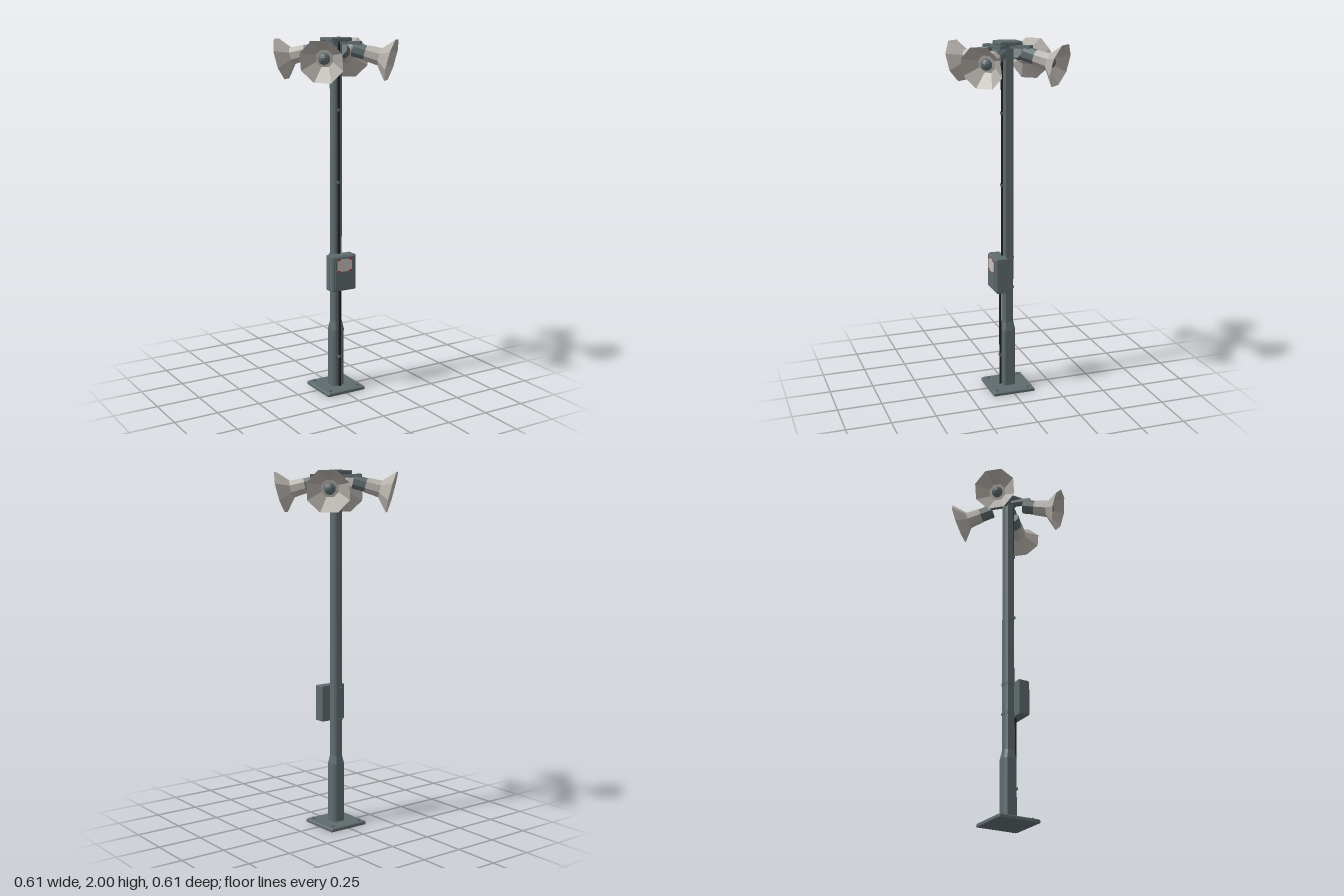
import * as THREE from 'three';

const mat = (name, color, extra = {}) =>
  Object.assign(new THREE.MeshStandardMaterial({ color, flatShading: true, ...extra }), { name });

// Chamfered-rectangle loft; each ring is [y, halfX, halfZ, chamfer]
function loft(rings) {
  const pos = [], idx = [];
  for (const [y, a, b, c] of rings) {
    const corners = [[a, b - c], [a - c, b], [c - a, b], [-a, b - c], [-a, c - b], [c - a, -b], [a - c, -b], [a, c - b]];
    for (const [x, z] of corners) pos.push(x, y, z);
  }
  for (let r = 0; r < rings.length - 1; r++) {
    for (let i = 0; i < 8; i++) {
      const p = r * 8 + i, q = r * 8 + (i + 1) % 8;
      idx.push(p, p + 8, q, q, p + 8, q + 8);
    }
  }
  const top = (rings.length - 1) * 8;
  for (let i = 1; i < 7; i++) idx.push(0, i, i + 1, top, top + i + 1, top + i);
  const g = new THREE.BufferGeometry();
  g.setAttribute('position', new THREE.Float32BufferAttribute(pos, 3));
  g.setIndex(idx);
  const flat = g.toNonIndexed();
  flat.computeVertexNormals();
  return flat;
}

// Octagonal lathe running along +z
const octagon = (points) =>
  new THREE.LatheGeometry(points.map(([r, s]) => new THREE.Vector2(r, s)), 8, Math.PI / 8).rotateX(Math.PI / 2);

export function createModel() {
  const model = new THREE.Group();
  model.name = 'loudspeakerPole';
  const slate = mat('slateMetal', 0x5f6b6e);
  const horn = mat('paleHorn', 0xb5b0aa, { side: THREE.DoubleSide });
  const black = mat('blackCable', 0x1b1e1f);
  const label = mat('labelWhite', 0xc4c0bd);
  const red = mat('redClip', 0xa8322e);

  const add = (name, geometry, material, x = 0, y = 0, z = 0, parent = model) => {
    const m = new THREE.Mesh(geometry, material);
    m.name = name;
    m.position.set(x, y, z);
    parent.add(m);
    return m;
  };
  const box = (w, h, d) => new THREE.BoxGeometry(w, h, d);

  // Base plate with anchor bolts
  add('basePlate', loft([[0, 0.123, 0.123, 0.004], [0.014, 0.123, 0.123, 0.004], [0.019, 0.118, 0.118, 0.004]]), slate);
  for (const x of [-0.092, 0.092]) {
    for (const z of [-0.092, 0.092]) {
      add('anchorBolt', new THREE.CylinderGeometry(0.009, 0.009, 0.012, 6), slate, x, 0.022, z);
    }
  }

  // Pole with thicker foot
  add('pole', loft([
    [0.015, 0.038, 0.038, 0.013], [0.355, 0.038, 0.038, 0.013],
    [0.405, 0.028, 0.028, 0.01], [1.98, 0.028, 0.028, 0.01],
  ]), slate);

  // Top cap
  add('topCap', loft([
    [1.977, 0.058, 0.058, 0.003], [1.982, 0.064, 0.064, 0.003],
    [1.995, 0.064, 0.064, 0.003], [2, 0.06, 0.06, 0.003],
  ]), slate);

  // Cable down the front, held by clips
  add('lowerCable', new THREE.CylinderGeometry(0.007, 0.007, 0.6, 8), black, 0, 0.315, 0.044);
  add('upperCable', new THREE.CylinderGeometry(0.007, 0.007, 1.19, 8), black, 0, 1.38, 0.032);
  for (const [y, z] of [[0.2, 0.044], [1.21, 0.032], [1.61, 0.032]]) {
    add('cableClip', box(0.022, 0.015, 0.018), slate, 0, y, z);
  }

  // Control box, with door, label and corner clips
  const cabinet = loft([
    [0.026, 0.077, 0.101, 0.003], [0.086, 0.077, 0.101, 0.003], [0.095, 0.068, 0.092, 0.003],
  ]).rotateX(Math.PI / 2);
  add('controlBox', cabinet, slate, 0, 0.702, 0);
  add('boxDoor', box(0.116, 0.168, 0.006), slate, 0, 0.702, 0.094);
  add('boxLabel', box(0.094, 0.072, 0.002), label, 0, 0.75, 0.0975);
  for (const x of [-0.037, 0.037]) {
    for (const y of [0.717, 0.783]) add('labelClip', box(0.018, 0.01, 0.003), red, x, y, 0.098);
  }

  // Straps fastening the box to the pole
  for (const y of [0.614, 0.79]) {
    add('boxStrap', loft([[y - 0.005, 0.031, 0.032, 0.011], [y + 0.005, 0.031, 0.032, 0.011]]), slate);
  }

  // Four horns on diagonal brackets
  for (let i = 0; i < 4; i++) {
    const arm = new THREE.Group();
    arm.name = 'hornArm';
    arm.rotation.y = Math.PI / 4 + i * Math.PI / 2;
    model.add(arm);
    add('bracket', box(0.046, 0.018, 0.14), slate, 0, 1.97, 0.07, arm);

    const speaker = new THREE.Group();
    speaker.name = 'hornSpeaker';
    speaker.position.set(0, 1.881, 0.307);
    speaker.rotation.x = THREE.MathUtils.degToRad(15);
    arm.add(speaker);
    add('driver', octagon([[0, -0.216], [0.041, -0.216], [0.041, -0.143], [0, -0.143]]), slate, 0, 0, 0, speaker);
    add('hornNeck', octagon([[0.044, -0.145], [0.05, -0.064]]), horn, 0, 0, 0, speaker);
    add('hornBell', octagon([[0.05, -0.064], [0.122, 0]]), horn, 0, 0, 0, speaker);
    add('hornThroat', octagon([[0.05, -0.064], [0, -0.064]]), horn, 0, 0, 0, speaker);
    add('throatPlug', new THREE.SphereGeometry(0.032, 10, 8), slate, 0, 0, -0.06, speaker);
  }
  return model;
}
